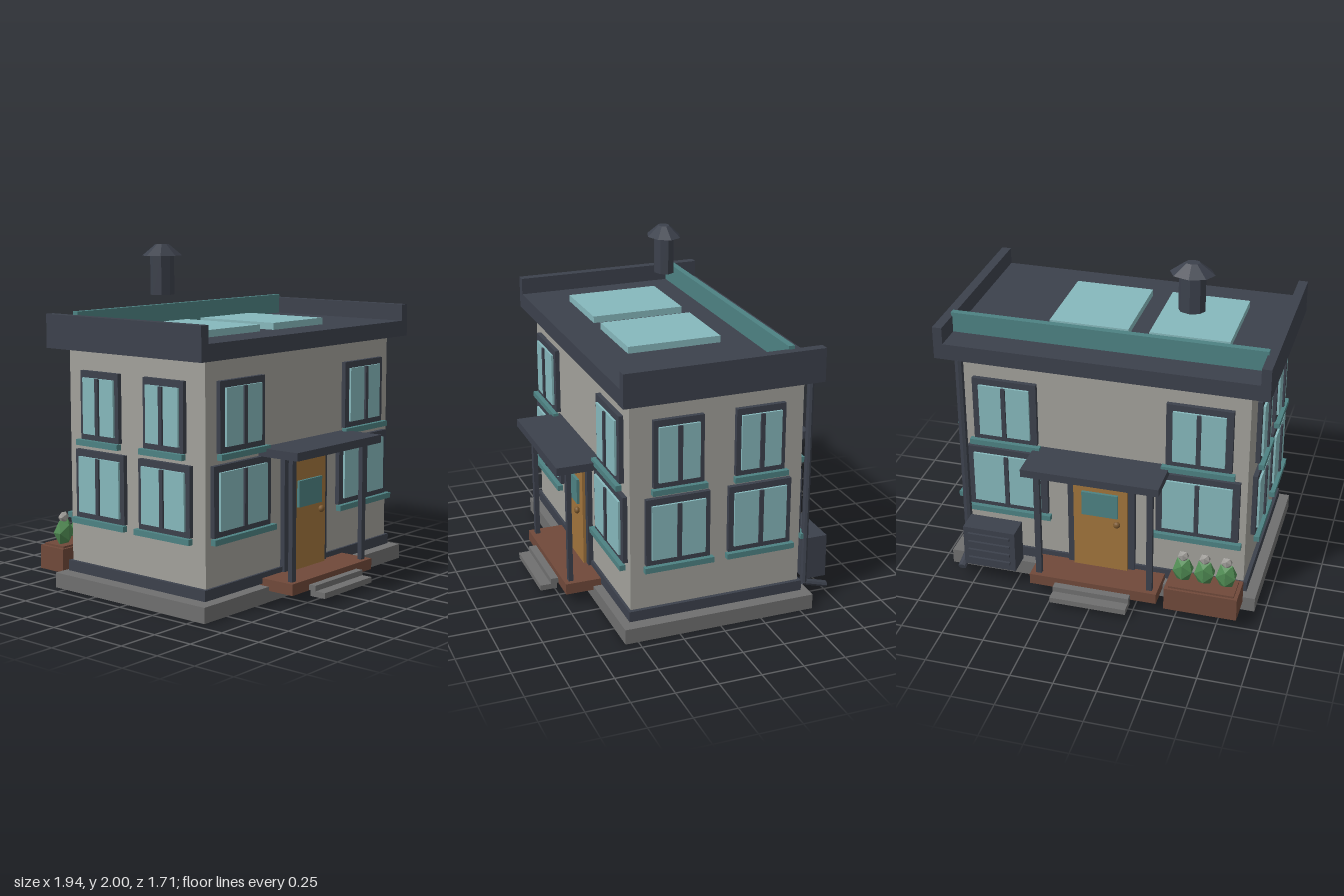
import * as THREE from 'three';

const mat = (name, color, flatShading = false) => {
  const m = new THREE.MeshStandardMaterial({ color, flatShading });
  m.name = name;
  return m;
};

export function createModel() {
  const house = new THREE.Group();
  house.name = 'house';
  const wall = mat('wall', 0xa2a19b);
  const slate = mat('slate', 0x3c414c, true);
  const stone = mat('stone', 0x6f6f6f);
  const teal = mat('teal', 0x4d8283);
  const glass = mat('glass', 0x86b8bc);
  const wood = mat('doorWood', 0xa1743c);
  const brown = mat('brown', 0x70493a);
  const leaf = mat('leaf', 0x4f8a52, true);
  const bud = mat('bud', 0x9c9a96, true);
  const brass = mat('brass', 0x7d5a30);

  const add = (parent, name, geometry, material, x = 0, y = 0, z = 0) => {
    const mesh = new THREE.Mesh(geometry, material);
    mesh.name = name;
    mesh.position.set(x, y, z);
    parent.add(mesh);
    return mesh;
  };
  // box from its limits on each axis
  const box = (parent, name, material, [x0, x1], [y0, y1], [z0, z1]) =>
    add(parent, name, new THREE.BoxGeometry(x1 - x0, y1 - y0, z1 - z0), material,
      (x0 + x1) / 2, (y0 + y1) / 2, (z0 + z1) / 2);
  const sym = (h) => [-h, h];

  // body
  box(house, 'foundation', stone, sym(0.94), [0, 0.09], sym(0.577));
  box(house, 'walls', wall, sym(0.857), [0.1, 1.42], sym(0.515));
  box(house, 'skirting', slate, sym(0.88), [0.1, 0.162], sym(0.53));

  // roof with side parapets, ridge board and skylights
  box(house, 'roofSlab', slate, sym(0.97), [1.415, 1.51], sym(0.587));
  for (const s of [-1, 1]) {
    const p = box(house, 'parapet', slate, [0.914, 0.97], [1.51, 1.61], sym(0.587));
    p.position.x *= s;
  }
  box(house, 'ridgeBoard', teal, sym(0.922), [1.51, 1.63], [-0.418, -0.38]);
  for (const x of [-0.43, 0.165])
    box(house, 'skylight', glass, [x - 0.236, x + 0.236], [1.51, 1.55], [-0.205, 0.355]);

  // chimney
  const chimney = new THREE.Group();
  chimney.name = 'chimney';
  chimney.position.set(-0.433, 0, -0.18);
  chimney.scale.z = 0.78;
  house.add(chimney);
  add(chimney, 'chimneyPipe', new THREE.CylinderGeometry(0.078, 0.078, 0.225, 8), slate, 0, 1.8225, 0);
  add(chimney, 'chimneyCap', new THREE.CylinderGeometry(0.043, 0.13, 0.065, 8), slate, 0, 1.9675, 0);

  // window facing +z; half widths of frame, pane and sill, border is the frame's height margin
  const makeWindow = (parent, x, y0, y1, hw, pane, sill, z) => {
    const g = new THREE.Group();
    g.name = 'window';
    g.position.set(x, 0, z);
    parent.add(g);
    const frame = new THREE.Shape();
    frame.moveTo(-hw, y0).lineTo(hw, y0).lineTo(hw, y1).lineTo(-hw, y1).closePath();
    const hole = new THREE.Path();
    const [a, b] = [y0 + 0.034, y1 - 0.038];
    hole.moveTo(-pane, a).lineTo(-pane, b).lineTo(pane, b).lineTo(pane, a).closePath();
    frame.holes.push(hole);
    add(g, 'windowFrame', new THREE.ExtrudeGeometry(frame, { depth: 0.027, bevelEnabled: false }), slate);
    box(g, 'windowPane', glass, sym(pane), [a, b], [0.01, 0.04]);
    box(g, 'mullion', slate, sym(0.0125), [a, b], [0.04, 0.052]);
    box(g, 'windowSill', teal, sym(sill), [y0 - 0.033, y0], [0.022, 0.055]);
  };

  // front and back facades, each with windows, a door and a porch
  for (const turn of [0, Math.PI]) {
    const f = new THREE.Group();
    f.name = turn ? 'backFacade' : 'frontFacade';
    f.rotation.y = turn;
    house.add(f);
    for (const s of [-1, 1]) {
      makeWindow(f, s * 0.575, 0.9, 1.295, 0.192, 0.152, 0.213, 0.516);
      makeWindow(f, s * 0.573, 0.44, 0.837, 0.245, 0.204, 0.266, 0.516);
      box(f, 'porchPost', slate, [s * 0.337 - 0.0175, s * 0.337 + 0.0175], [0.13, 0.836], [0.69, 0.718]);
    }
    box(f, 'doorFrame', slate, sym(0.203), [0.13, 0.82], [0.51, 0.545]);
    box(f, 'door', wood, sym(0.163), [0.13, 0.773], [0.53, 0.563]);
    box(f, 'doorPanel', teal, sym(0.109), [0.5, 0.655], [0.56, 0.58]);
    const knob = add(f, 'doorKnob', new THREE.SphereGeometry(0.021, 12, 8), brass, 0.104, 0.46, 0.58);
    knob.scale.z = 0.78;
    box(f, 'porchCanopy', slate, sym(0.405), [0.836, 0.883], [0.515, 0.79]);
    box(f, 'porchDeck', brown, sym(0.386), [0.066, 0.132], [0.515, 0.745]);
    box(f, 'upperStep', stone, sym(0.23), [0.068, 0.1], [0.69, 0.79]);
    box(f, 'lowerStep', stone, sym(0.23), [0.035, 0.068], [0.755, 0.855]);
  }

  // side windows
  for (const s of [-1, 1]) {
    const side = new THREE.Group();
    side.name = s > 0 ? 'leftSide' : 'rightSide';
    side.rotation.y = s * Math.PI / 2;
    house.add(side);
    for (const k of [-1, 1]) {
      makeWindow(side, k * 0.243, 0.9, 1.295, 0.148, 0.12, 0.162, 0.87);
      makeWindow(side, k * 0.246, 0.44, 0.837, 0.19, 0.159, 0.206, 0.87);
    }
  }

  // downspout with a kicked-out foot
  const pipe = (name, y0, z0, y1, z1) => {
    const length = Math.hypot(y1 - y0, z1 - z0);
    const m = add(house, name, new THREE.CylinderGeometry(0.026, 0.026, length, 8), slate,
      0.827, (y0 + y1) / 2, (z0 + z1) / 2);
    m.scale.z = 0.7;
    m.rotation.x = Math.atan2(z1 - z0, y1 - y0);
  };
  pipe('downspout', 0.12, -0.57, 1.42, -0.57);
  pipe('downspoutFoot', 0.125, -0.56, 0.08, -0.715);

  // outdoor cooling unit with louvres
  box(house, 'coolingUnit', slate, [0.48, 0.8], [0.12, 0.383], [-0.727, -0.588]);
  for (let i = 0; i < 4; i++) {
    const y = 0.172 + i * 0.056;
    box(house, 'louvre', slate, [0.512, 0.77], [y - 0.009, y + 0.009], [-0.742, -0.725]);
  }

  // planter with three budding plants
  box(house, 'planter', brown, [-0.87, -0.44], [0.07, 0.212], [-0.78, -0.59]);
  box(house, 'planterSoil', brown, [-0.848, -0.462], [0.212, 0.224], [-0.765, -0.605]);
  for (const x of [-0.783, -0.655, -0.528]) {
    const plant = add(house, 'plantLeaves', new THREE.IcosahedronGeometry(0.067, 0), leaf, x, 0.292, -0.67);
    plant.scale.set(1, 1.3, 0.78);
    const top = add(house, 'plantBud', new THREE.IcosahedronGeometry(0.036, 0), bud, x, 0.382, -0.67);
    top.scale.z = 0.78;
  }
  return house;
}
